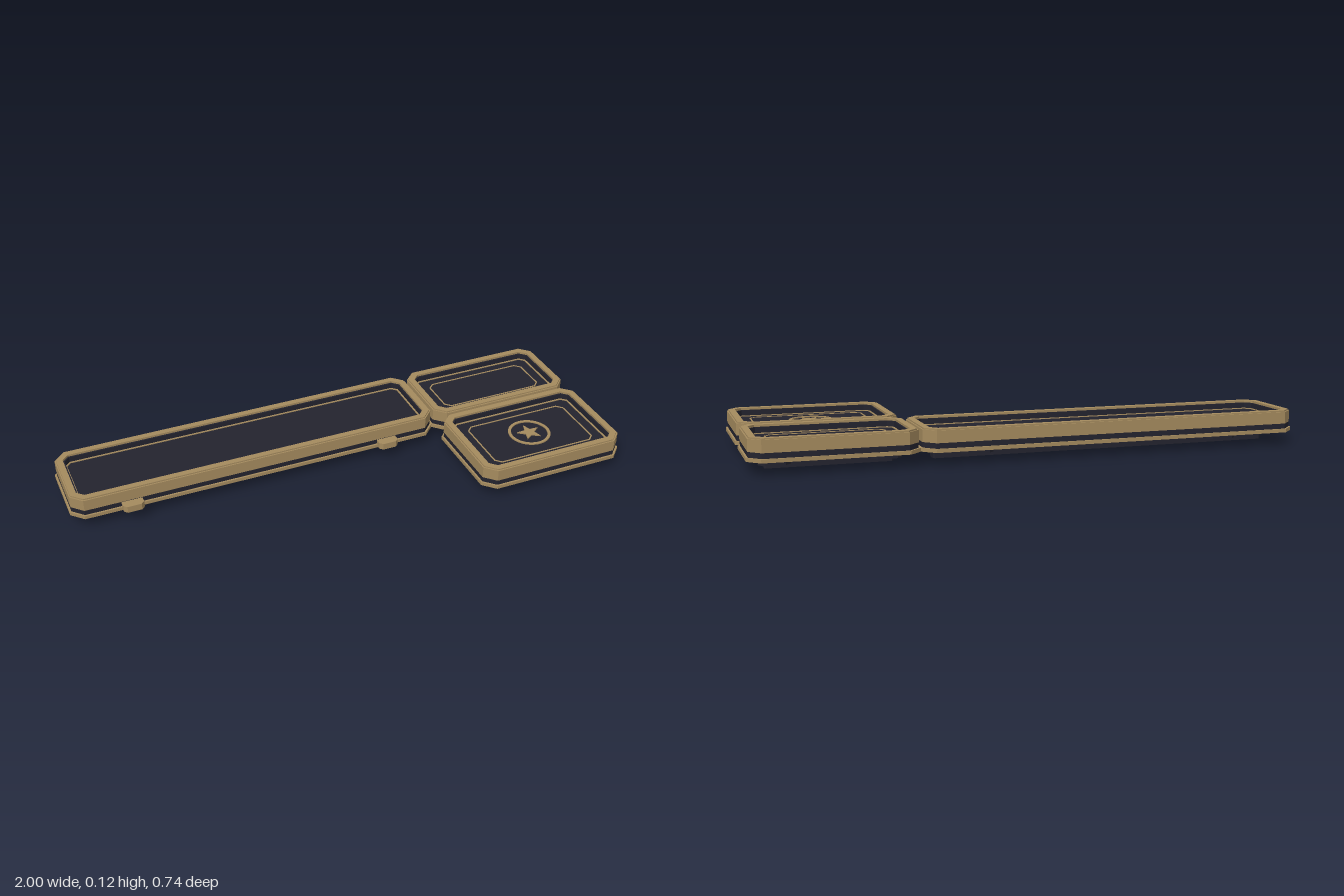
import * as THREE from 'three';

const gold = new THREE.MeshStandardMaterial({ color: 0xa48a5e });
gold.name = 'antique gold';
const dark = new THREE.MeshStandardMaterial({ color: 0x23232e });
dark.name = 'dark slate';

// Chamfered rectangle outline; larger insets keep the border width even
function trace(path, w, d, inset, chamfer) {
  const x = w / 2 - inset, y = d / 2 - inset;
  const c = Math.max(chamfer - 0.586 * inset, 0.004);
  path.setFromPoints([
    [x, c - y], [x, y - c], [x - c, y], [c - x, y],
    [-x, y - c], [-x, c - y], [c - x, -y], [x - c, -y],
  ].map(([px, py]) => new THREE.Vector2(px, py)));
  return path;
}

// Extrudes a plan shape upward from y0 to y1
function slab(name, shape, y0, y1, material) {
  const geo = new THREE.ExtrudeGeometry(shape, { depth: y1 - y0, bevelEnabled: false, curveSegments: 32 });
  geo.rotateX(-Math.PI / 2);
  geo.translate(0, y0, 0);
  const mesh = new THREE.Mesh(geo, material);
  mesh.name = name;
  return mesh;
}

function plate(name, w, d, inset, chamfer, y0, y1, material) {
  return slab(name, trace(new THREE.Shape(), w, d, inset, chamfer), y0, y1, material);
}

function frame(name, w, d, outer, inner, y0, y1, material, chamfer = 0.044) {
  const shape = trace(new THREE.Shape(), w, d, outer, chamfer);
  shape.holes.push(trace(new THREE.Path(), w, d, inner, chamfer));
  return slab(name, shape, y0, y1, material);
}

const FLOOR = 0.094;

function tray(name, x0, x1, z0, z1, rail, blocks) {
  const g = new THREE.Group();
  g.name = name;
  const w = x1 - x0, d = z1 - z0, cx = (x0 + x1) / 2;
  g.position.set(cx, 0, (z0 + z1) / 2);
  g.add(
    frame('baseFlange', w, d, 0, 0.014, 0.045, 0.058, gold),
    plate('body', w, d, 0.0135, 0.044, 0.047, FLOOR, dark),
    frame('darkBand', w, d, 0.007, 0.03, 0.058, 0.077, dark),
    frame('wall', w, d, 0.006, 0.034, 0.077, 0.12, gold),
    frame('topLip', w, d, 0.011, 0.034, 0.12, 0.125, gold),
    frame('innerLiner', w, d, 0.034, 0.04, 0.08, 0.117, dark),
    frame('floorTrim', w, d, 0.04, 0.046, 0.09, FLOOR + 0.003, gold),
  );
  // Rail and wider support blocks underneath
  const bar = plate('footRail', rail[1] - rail[0], 0.047, 0, 0.006, 0, 0.048, dark);
  bar.position.x = (rail[0] + rail[1]) / 2 - cx;
  g.add(bar);
  for (const [a, b] of blocks) {
    const block = plate('footBlock', b - a, 0.085, 0, 0.02, 0.012, 0.048, dark);
    block.position.x = (a + b) / 2 - cx;
    g.add(block);
  }
  return g;
}

// Thin inlaid line on the floor of a small tray
function inlay(g, w, d) {
  g.add(frame('inlayLine', w - 0.163, d - 0.155, 0, 0.005, FLOOR, FLOOR + 0.002, gold, 0.022));
}

export function createModel() {
  const model = new THREE.Group();
  model.name = 'traySet';

  const long = tray('longTray', -1, 0.418, -0.368, -0.04, [-0.93, 0.35], [[-0.82, -0.7], [0.13, 0.25]]);
  const smallRail = [0.49, 0.93], smallBlocks = [[0.46, 0.57], [0.84, 0.95]];
  const back = tray('backTray', 0.418, 1, -0.368, -0.04, smallRail, smallBlocks);
  const front = tray('frontTray', 0.418, 1, -0.038, 0.368, smallRail, smallBlocks);
  inlay(back, 0.582, 0.328);
  inlay(front, 0.582, 0.406);

  // Ring and five-pointed star in the front tray
  const ring = new THREE.Shape().absarc(0, 0, 0.08, 0, Math.PI * 2);
  ring.holes.push(new THREE.Path().absarc(0, 0, 0.069, 0, Math.PI * 2));
  const points = [];
  for (let i = 0; i < 10; i++) {
    const a = Math.PI / 2 + i * Math.PI / 5, r = i % 2 ? 0.019 : 0.046;
    points.push(new THREE.Vector2(r * Math.cos(a), r * Math.sin(a)));
  }
  const medallion = new THREE.Group();
  medallion.name = 'medallion';
  medallion.position.z = -0.005;
  medallion.add(
    slab('ring', ring, FLOOR, FLOOR + 0.004, gold),
    slab('star', new THREE.Shape(points), FLOOR, FLOOR + 0.005, gold),
  );
  front.add(medallion);

  // Chamfered tabs on the front edge of the long tray
  for (const x of [-0.783, 0.207]) {
    const tab = plate('frontTab', 0.076, 0.05, 0, 0.012, 0.05, 0.075, gold);
    tab.position.set(x, 0, -0.036);
    model.add(tab);
  }

  model.add(long, back, front);
  return model;
}
